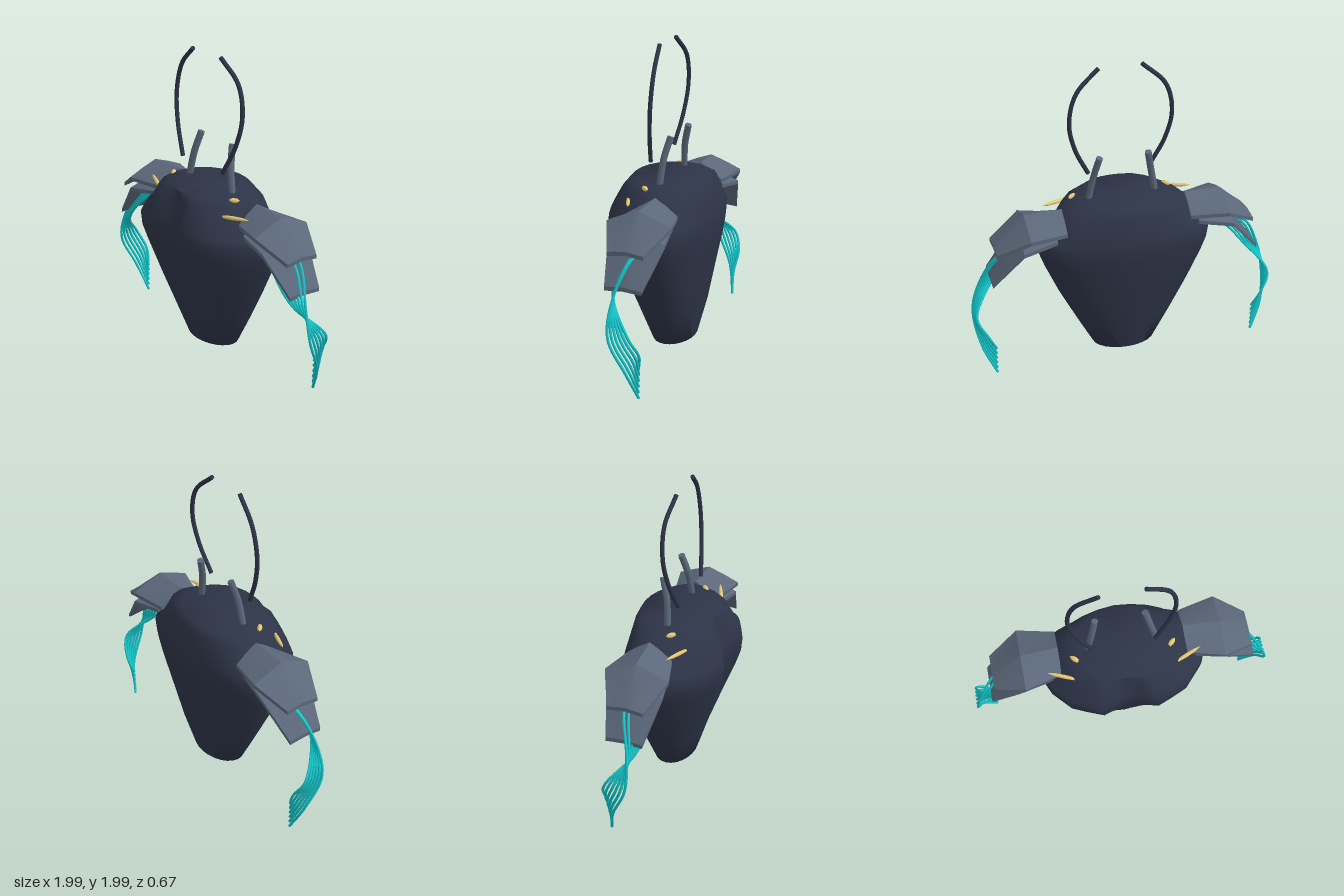
import * as THREE from 'three';
import { toCreasedNormals } from 'three/addons/utils/BufferGeometryUtils.js';

const material = (name, color) =>
  Object.assign(new THREE.MeshStandardMaterial({ color }), { name });

// Closed skin over a list of equal-length rings, capped at both ends
function loft(rings, crease) {
  const n = rings[0].length, last = rings.length - 1;
  const pos = rings.flat(2), index = [];
  for (let i = 0; i < last; i++) {
    for (let j = 0; j < n; j++) {
      const k = (j + 1) % n, a = i * n + j, b = i * n + k;
      index.push(a, b, a + n, b, b + n, a + n);
    }
  }
  for (const r of [0, last]) {
    const c = pos.length / 3;
    for (let axis = 0; axis < 3; axis++) {
      pos.push(rings[r].reduce((sum, p) => sum + p[axis], 0) / n);
    }
    for (let j = 0; j < n; j++) {
      const a = r * n + j, b = r * n + (j + 1) % n;
      if (r === 0) index.push(c, b, a);
      else index.push(c, a, b);
    }
  }
  const geo = new THREE.BufferGeometry();
  geo.setAttribute('position', new THREE.Float32BufferAttribute(pos, 3));
  geo.setIndex(index);
  return toCreasedNormals(geo, crease);
}

// Half of the chest outline (x, z), from breastbone round to spine
const HALF = [
  [0, 0.26], [0.09, 0.29], [0.18, 0.325], [0.28, 0.285], [0.38, 0.24], [0.49, 0.12],
  [0.56, -0.04], [0.54, -0.15], [0.47, -0.22], [0.39, -0.26], [0.3, -0.29], [0.15, -0.32], [0, -0.335],
];
const OUTLINE = [...HALF, ...HALF.slice(1, -1).reverse().map(([x, z]) => [-x, z])];

// Ring that blends an ellipse (0) into the chest outline (1)
function torsoRing([y, rx, zc, rz, blend]) {
  return OUTLINE.map(([px, pz], i) => {
    const a = (i / OUTLINE.length) * Math.PI * 2;
    return [
      rx * THREE.MathUtils.lerp(Math.sin(a), px / 0.56, blend),
      y,
      zc + rz * THREE.MathUtils.lerp(Math.cos(a), pz / 0.33, blend),
    ];
  });
}

// Arched plate section: ridge height y, half width hw, edges lowered by drop
function plateRing([x, y, zc, hw, drop], thick) {
  const top = [[-1, 1], [-0.5, 0.45], [0, 0], [0.5, 0.45], [1, 1]]
    .map(([t, d]) => [x, y - d * drop, zc + t * hw]);
  const under = top.map(([px, py, pz]) => [px, py - thick, pz]).reverse();
  return [...top, ...under];
}

const mirrorRing = (ring, s) => (s > 0 ? ring : ring.map(([x, y, z]) => [-x, y, z]).reverse());

export function createModel() {
  const model = new THREE.Group();
  model.name = 'armouredTorso';
  const dark = material('dark navy', 0x2d3447);
  const slate = material('slate armour', 0x5b687a);
  const cyan = material('cyan strand', 0x14c8cc);
  const gold = material('gold claw', 0xe8ca72);

  const add = (parent, name, geo, mat) => {
    const mesh = new THREE.Mesh(geo, mat);
    mesh.name = name;
    parent.add(mesh);
    return mesh;
  };

  // Torso: y, half width, centre z, half depth, blend
  const torso = [
    [0.063, 0.207, -0.055, 0.135, 0],
    [0.28, 0.32, -0.045, 0.2, 0.35],
    [0.5, 0.43, -0.025, 0.255, 0.65],
    [0.7, 0.515, -0.008, 0.307, 0.9],
    [0.8, 0.55, 0, 0.328, 1],
    [0.89, 0.562, 0, 0.335, 1],
    [0.93, 0.535, -0.002, 0.328, 1],
    [0.99, 0.46, -0.008, 0.312, 0.95],
    [1.09, 0.4, -0.02, 0.275, 0.7],
    [1.14, 0.29, -0.025, 0.245, 0.1],
  ];
  add(model, 'torso', loft(torso.map(torsoRing), 1.3), dark);

  for (const s of [1, -1]) {
    const half = new THREE.Group();
    half.name = s > 0 ? 'leftSide' : 'rightSide';
    model.add(half);

    const curve = (pts) =>
      new THREE.CatmullRomCurve3(pts.map(([x, y, z]) => new THREE.Vector3(x * s, y, z)));

    // Tube with flat ends
    const rod = (name, pts, radius, mat, segments = 32, sides = 8) => {
      const path = curve(pts);
      add(half, name, new THREE.TubeGeometry(path, segments, radius, sides), mat);
      for (const t of [0, 1]) {
        const cap = add(half, name + 'Cap', new THREE.CircleGeometry(radius, sides), mat);
        const p = path.getPoint(t), dir = path.getTangent(t).multiplyScalar(t ? 1 : -1);
        cap.position.copy(p);
        cap.lookAt(p.clone().add(dir));
      }
    };

    // Slender spindle between two points
    const claw = (name, from, to, radius) => {
      const [a, b] = [from, to].map(([x, y, z]) => new THREE.Vector3(x * s, y, z));
      const len = a.distanceTo(b);
      const profile = [[0, 0], [0.75, 0.08], [1, 0.4], [0.8, 0.75], [0, 1]]
        .map(([r, t]) => new THREE.Vector2(r * radius, (t - 0.5) * len));
      const mesh = add(half, name, new THREE.LatheGeometry(profile, 8), gold);
      mesh.position.copy(a).lerp(b, 0.5);
      mesh.quaternion.setFromUnitVectors(new THREE.Vector3(0, 1, 0), b.clone().sub(a).normalize());
    };

    // Shoulder plates: x, ridge y, centre z, half width, edge drop
    const plates = {
      upperShoulderPlate: [
        [0.4, 1.11, -0.075, 0.145, 0.1],
        [0.64, 1.1, -0.065, 0.205, 0.08],
        [0.838, 0.915, -0.06, 0.115, 0.015],
      ],
      lowerShoulderPlate: [
        [0.46, 1.04, -0.065, 0.145, 0.08],
        [0.68, 0.975, -0.065, 0.18, 0.05],
        [0.872, 0.705, -0.058, 0.117, 0.01],
      ],
    };
    for (const [name, columns] of Object.entries(plates)) {
      const rings = columns.map((c) => mirrorRing(plateRing(c, 0.025), s));
      add(half, name, loft(rings, 0.45), slate);
    }

    // Neck stalk and the floating curved antenna
    rod('neckStalk', [[0.218, 1.12, -0.03], [0.185, 1.29, -0.045], [0.155, 1.43, -0.08]], 0.022, slate);
    rod('antenna', [
      [0.2, 1.275, 0.035], [0.29, 1.47, 0.005], [0.326, 1.66, -0.015],
      [0.28, 1.85, -0.02], [0.135, 1.99, 0],
    ], 0.014, dark);

    // Gold claws on the chest
    claw('longClaw', [0.315, 1.055, 0.138], [0.495, 1.068, 0.065], 0.013);
    claw('smallClaw', [0.285, 1.128, 0.05], [0.335, 1.13, 0.005], 0.017);

    // Trailing strands: fan out below the plates, cross over, then gather
    for (let i = 0; i < 6; i++) {
      const t = i / 5;
      rod('strand', [
        [0.64 - 0.055 * t, 0.92 - 0.03 * t, -0.13 + 0.13 * t],
        [0.82 - 0.08 * t, 0.83 - 0.09 * t, -0.075 + 0.115 * t],
        [0.93 - 0.08 * t, 0.63 - 0.02 * t, -0.015 + 0.025 * t],
        [0.985 - 0.005 * t, 0.42 + 0.02 * t, -0.01 - 0.125 * t],
        [0.953 - 0.033 * t, 0.2 + 0.11 * t, -0.105 - 0.073 * t],
        [0.87, 0.012 + 0.188 * t, -0.155],
      ], 0.009, cyan, 36, 6);
    }
  }
  return model;
}
